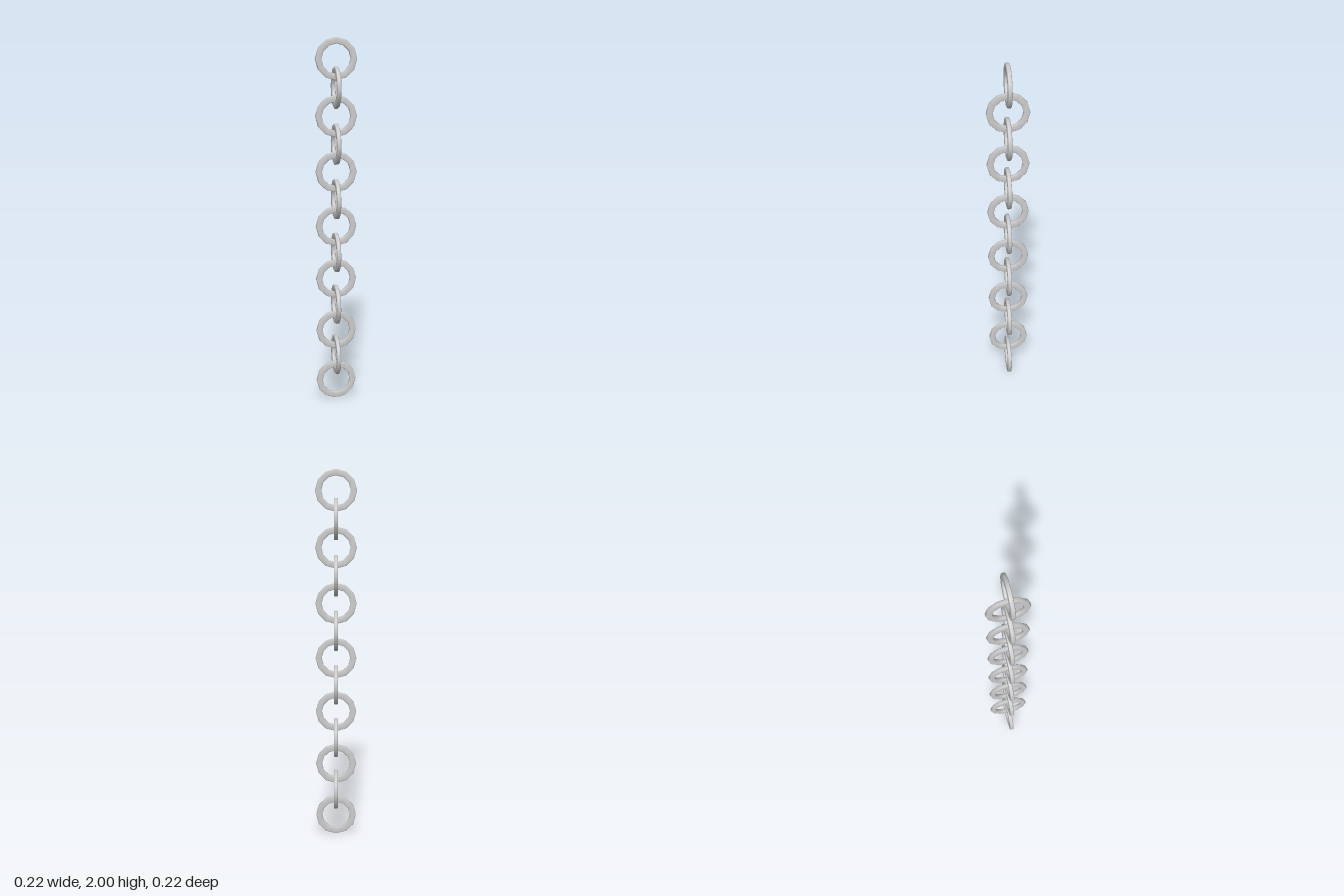
import * as THREE from 'three';

const LINKS = 13;
const OUTER = 0.11;   // outer radius of a link
const INNER = 0.077;  // inner radius of a link
const HALF = 0.011;   // half thickness
const BEVEL = 0.004;

// Flattened ring with bevelled edges, lying in the XY plane
function linkGeometry() {
  const profile = [
    [INNER, 0],
    [INNER, -HALF + BEVEL],
    [INNER + BEVEL, -HALF],
    [OUTER - BEVEL, -HALF],
    [OUTER, -HALF + BEVEL],
    [OUTER, HALF - BEVEL],
    [OUTER - BEVEL, HALF],
    [INNER + BEVEL, HALF],
    [INNER, HALF - BEVEL],
    [INNER, 0],
  ].map(([r, y]) => new THREE.Vector2(r, y));
  return new THREE.LatheGeometry(profile, 12).rotateX(Math.PI / 2);
}

export function createModel() {
  const chain = new THREE.Group();
  chain.name = 'chain';
  const material = new THREE.MeshStandardMaterial({ color: 0xcccccc });
  const geometry = linkGeometry();
  const spacing = (2 - 2 * OUTER) / (LINKS - 1);

  // Links alternate between facing front and facing sideways
  for (let i = 0; i < LINKS; i++) {
    const link = new THREE.Mesh(geometry, material);
    link.name = `link${i + 1}`;
    link.position.y = OUTER + i * spacing;
    link.rotation.y = i % 2 ? Math.PI / 2 : 0;
    chain.add(link);
  }
  return chain;
}
